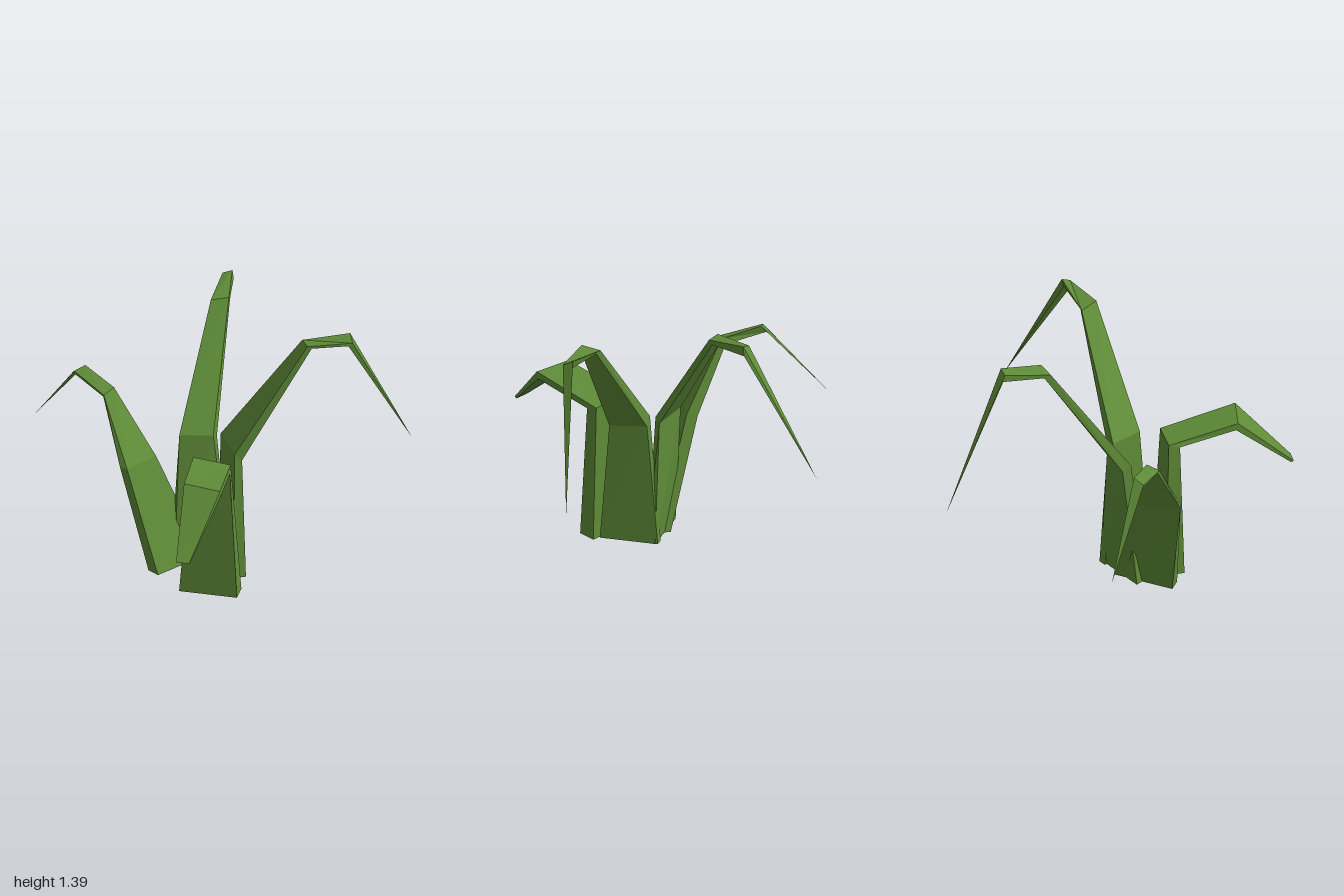
import * as THREE from 'three';

// Lofts four-cornered sections; corners run outer left, outer right, inner right, inner left.
// A section with a single point ends the leaf in a sharp tip.
function loft(sections) {
  const pos = [];
  const tri = (a, b, c) => pos.push(...a, ...b, ...c);
  const quad = (a, b, c, d) => { tri(a, b, c); tri(a, c, d); };
  for (let i = 0; i < sections.length - 1; i++) {
    const lo = sections[i], hi = sections[i + 1];
    for (let k = 0; k < 4; k++) {
      const n = (k + 1) % 4;
      if (hi.length === 1) tri(lo[k], lo[n], hi[0]);
      else quad(lo[k], lo[n], hi[n], hi[k]);
    }
  }
  const base = sections[0], end = sections[sections.length - 1];
  quad(base[0], base[3], base[2], base[1]);
  if (end.length === 4) quad(...end);
  const g = new THREE.BufferGeometry();
  g.setAttribute('position', new THREE.Float32BufferAttribute(pos, 3));
  g.computeVertexNormals();
  return g;
}

// Each leaf: base, lower bend, start of crown, end of crown, drooping tip
const leaves = {
  frontLeaf: [
    [[-0.09, 0, 0.35], [0.22, 0, 0.35], [0.22, 0, 0.25], [-0.09, 0, 0.25]],
    [[-0.03, 0.75, 0.34], [0.18, 0.73, 0.34], [0.17, 0.75, 0.28], [-0.03, 0.77, 0.28]],
    [[0.01, 0.785, 0.65], [0.21, 0.78, 0.68], [0.21, 0.82, 0.69], [0.01, 0.825, 0.66]],
    [[0.04, 0.52, 0.95], [0.11, 0.52, 0.95], [0.11, 0.525, 0.965], [0.04, 0.525, 0.965]],
  ],
  leftLeaf: [
    [[0.23, 0.04, 0.19], [0.06, 0.04, -0.07], [0.02, 0.04, -0.05], [0.17, 0.04, 0.22]],
    [[0.2, 0.71, 0.15], [0.09, 0.73, -0.02], [0.05, 0.77, 0], [0.165, 0.75, 0.17]],
    [[0.54, 1.345, 0.01], [0.5, 1.335, -0.07], [0.47, 1.345, -0.07], [0.52, 1.36, 0.02]],
    [[0.72, 1.345, -0.06], [0.71, 1.345, -0.11], [0.715, 1.39, -0.12], [0.74, 1.36, -0.07]],
    [[0.99, 0.67, -0.36]],
  ],
  backLeaf: [
    [[0.07, 0.04, -0.06], [-0.2, 0.04, 0.07], [-0.17, 0.04, 0.11], [0.09, 0.04, -0.02]],
    [[0.02, 0.73, -0.04], [-0.17, 0.74, 0], [-0.16, 0.76, 0.05], [0.01, 0.75, 0]],
    [[0, 1.34, -0.42], [-0.09, 1.335, -0.4], [-0.09, 1.35, -0.365], [0, 1.36, -0.395]],
    [[-0.03, 1.345, -0.63], [-0.09, 1.345, -0.62], [-0.085, 1.38, -0.61], [-0.035, 1.395, -0.62]],
    [[-0.24, 0.67, -0.96]],
  ],
  rightLeaf: [
    [[-0.08, 0.04, -0.02], [-0.28, 0.04, 0.24], [-0.22, 0.04, 0.28], [-0.03, 0.04, 0.02]],
    [[-0.32, 0.62, 0.03], [-0.43, 0.64, 0.25], [-0.39, 0.64, 0.26], [-0.28, 0.63, 0.07]],
    [[-0.52, 0.97, 0.03], [-0.555, 0.965, 0.1], [-0.55, 0.98, 0.11], [-0.51, 1, 0.05]],
    [[-0.72, 1.01, -0.07], [-0.75, 1.015, -0.03], [-0.74, 1.03, -0.02], [-0.69, 1.05, -0.06]],
    [[-1, 0.62, -0.25]],
  ],
};

export function createModel() {
  const group = new THREE.Group();
  group.name = 'leafyPlant';
  const leafGreen = new THREE.MeshStandardMaterial({ color: 0x5f8c38 });
  leafGreen.name = 'leafGreen';
  for (const [name, sections] of Object.entries(leaves)) {
    const leaf = new THREE.Mesh(loft(sections), leafGreen);
    leaf.name = name;
    group.add(leaf);
  }
  return group;
}
